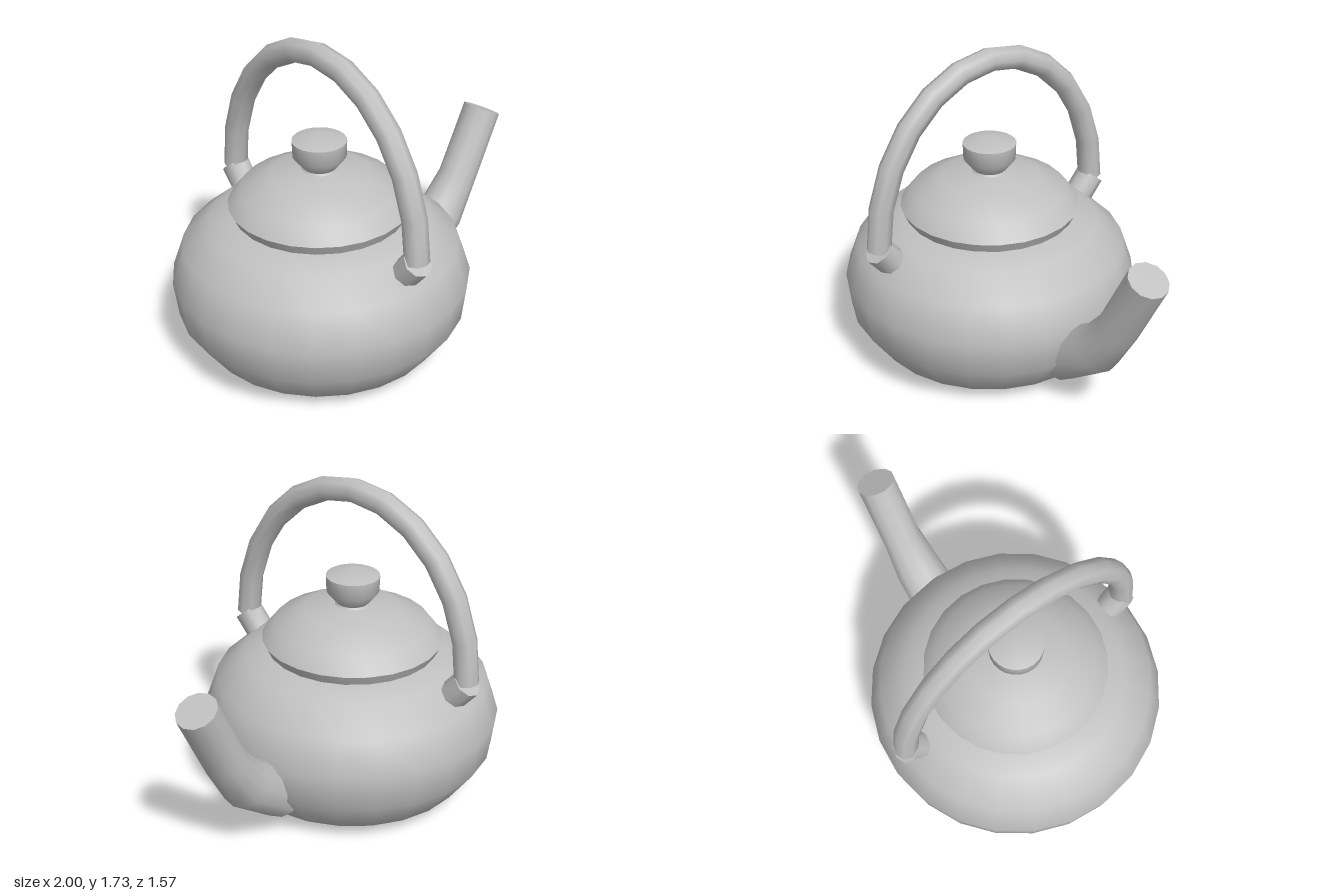
import * as THREE from 'three';
import { toCreasedNormals } from 'three/addons/utils/BufferGeometryUtils.js';

const CREASE = 0.9;

// Turned part from [radius, height] pairs, bottom to top
function turned(profile) {
  const points = profile.map(([r, y]) => new THREE.Vector2(r, y));
  return toCreasedNormals(new THREE.LatheGeometry(points, 24), CREASE);
}

// Capped tube along [x, y, radius] rings lying in the xy plane
function bentTube(rings, sides) {
  const n = rings.length - 1;
  const geometry = new THREE.CylinderGeometry(1, 1, n, sides, n);
  const pos = geometry.attributes.position;
  for (let i = 0; i < pos.count; i++) {
    const row = Math.round(pos.getY(i) + n / 2);
    const [x, y, r] = rings[row];
    const before = rings[Math.max(row - 1, 0)];
    const after = rings[Math.min(row + 1, n)];
    const dir = new THREE.Vector2(after[0] - before[0], after[1] - before[1]).normalize();
    const across = pos.getX(i) * r;
    pos.setXYZ(i, x + across * dir.y, y - across * dir.x, pos.getZ(i) * r);
  }
  return toCreasedNormals(geometry, CREASE);
}

export function createModel() {
  const metal = new THREE.MeshStandardMaterial({ color: 0xc0c0c0 });
  metal.name = 'greyMetal';

  // The kettle is built with its spout along +x, then turned
  const kettle = new THREE.Group();
  kettle.name = 'kettle';
  const add = (name, geometry) => {
    const mesh = new THREE.Mesh(geometry, metal);
    mesh.name = name;
    kettle.add(mesh);
    return mesh;
  };

  add('body', turned([
    [0, 0], [0.45, 0], [0.635, 0.08], [0.765, 0.265], [0.787, 0.455],
    [0.722, 0.64], [0.575, 0.765], [0.44, 0.81], [0, 0.82],
  ]));

  add('lid', turned([
    [0, 0.805], [0.45, 0.805], [0.477, 0.86], [0.41, 0.945],
    [0.258, 1.02], [0.11, 1.042], [0, 1.06],
  ]));

  add('knob', turned([
    [0.1, 1.035], [0.085, 1.055], [0.138, 1.12], [0.141, 1.205], [0, 1.245],
  ]));

  add('spout', bentTube([
    [0.64, 0.235, 0.15], [0.916, 0.42, 0.13], [1.05, 0.61, 0.107], [1.236, 0.977, 0.105],
  ], 12));

  // Arched handle, half an ellipse across the spout
  const arch = [];
  for (let i = 0; i <= 12; i++) {
    const a = (i / 12) * Math.PI;
    arch.push([-0.7 * Math.cos(a), 0.8 + 0.867 * Math.sin(a), 0.064]);
  }
  add('handle', bentTube(arch, 8)).rotation.y = Math.PI / 2;

  // Sockets standing square to the shoulder under each handle end
  for (const side of [1, -1]) {
    const socket = add('handleSocket', bentTube([
      [0.59, 0.662, 0.078], [0.705, 0.8, 0.078],
    ], 8));
    socket.rotation.y = (side * Math.PI) / 2;
  }

  kettle.rotation.y = THREE.MathUtils.degToRad(25);
  kettle.position.x = -0.215;

  const model = new THREE.Group();
  model.name = 'teapot';
  model.add(kettle);
  return model;
}
